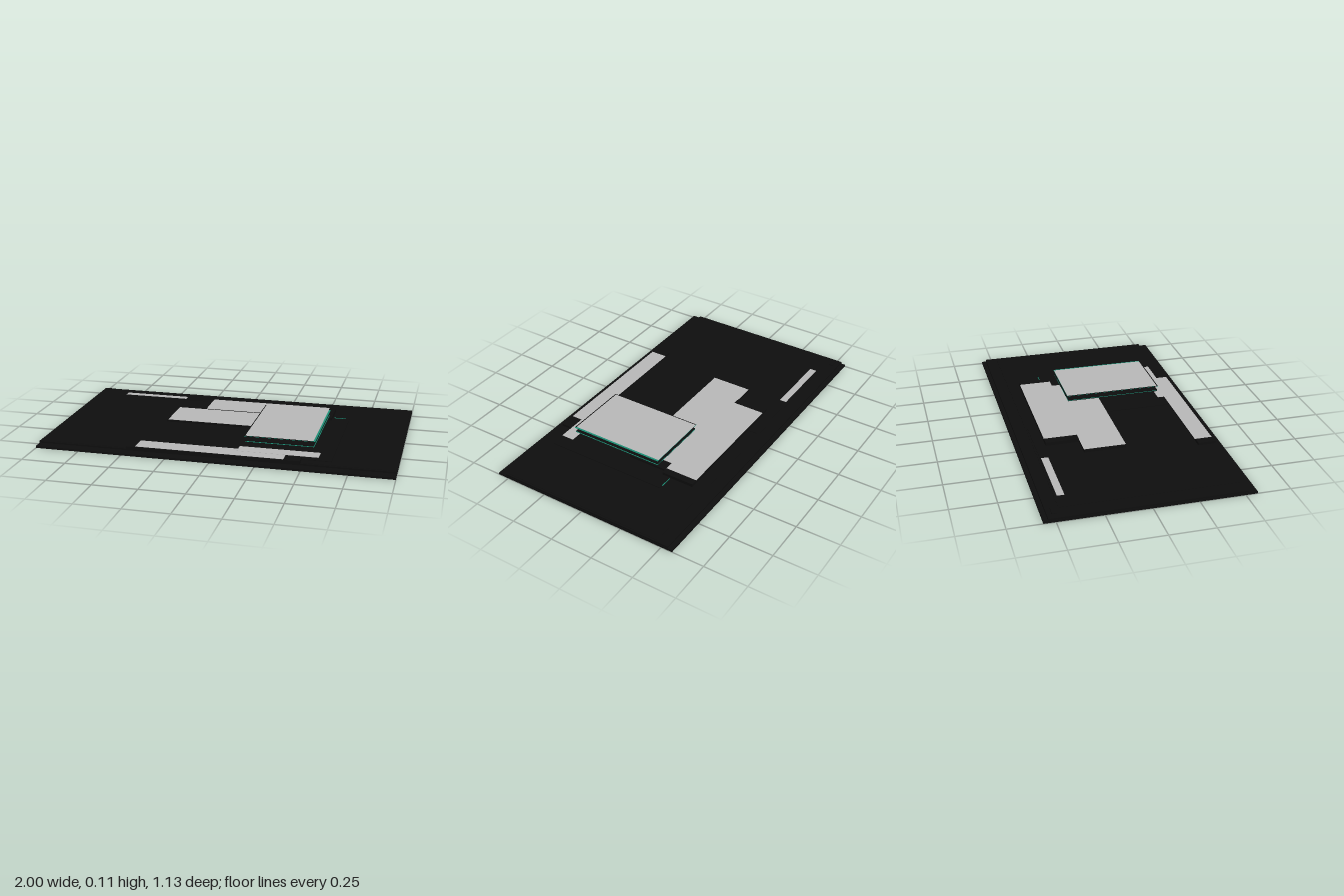
import * as THREE from 'three';

export function createModel() {
  const model = new THREE.Group();
  model.name = 'layeredPanel';
  const material = (name, color) => {
    const m = new THREE.MeshStandardMaterial({ color });
    m.name = name;
    return m;
  };
  const black = material('black', 0x0e0e0e);
  const grey = material('light grey', 0xb8b8b8);
  const teal = material('teal', 0x1a9076);

  // Axis-aligned slab given by its limits on each axis
  function slab(name, mat, [x0, x1], [y0, y1], [z0, z1], parent = model) {
    const mesh = new THREE.Mesh(new THREE.BoxGeometry(x1 - x0, y1 - y0, z1 - z0), mat);
    mesh.position.set((x0 + x1) / 2, (y0 + y1) / 2, (z0 + z1) / 2);
    mesh.name = name;
    parent.add(mesh);
    return mesh;
  }

  // Stacked base sheets
  slab('baseSheet', black, [-1, 1], [0, 0.012], [-0.565, 0.565]);
  slab('middleSheet', black, [-1, 1], [0.014, 0.024], [-0.54, 0.515]);
  slab('innerSheet', black, [-0.91, 0.99], [0.024, 0.026], [-0.47, 0.505]);
  slab('panelWell', black, [0.05, 0.65], [0.026, 0.03], [-0.26, 0.46]);
  slab('backRail', black, [-0.75, -0.05], [0.026, 0.029], [-0.46, -0.41]);

  // Raised blocks, each topped by a thin grey plate
  const blocks = [
    ['rear', [-0.27, 0.55], [-0.40, -0.21], 0.046, [-0.22, 0.51], [-0.40, -0.21]],
    ['middle', [-0.40, 0.52], [-0.21, 0.027], 0.042, [-0.39, 0.455], [-0.21, 0.03]],
    ['front', [-0.48, 0.49], [0.425, 0.527], 0.042, [-0.43, 0.40], [0.42, 0.52]],
  ];
  for (const [name, bx, bz, top, px, pz] of blocks) {
    slab(name + 'Block', black, bx, [0.027, top], bz);
    slab(name + 'Plate', grey, px, [top, top + 0.001], pz);
  }
  slab('wellPlate', grey, [0.13, 0.58], [0.043, 0.044], [0.38, 0.455]);
  slab('backPlate', grey, [-0.81, -0.41], [0.032, 0.033], [-0.455, -0.415]);

  // Small fittings
  slab('sideMarker', teal, [0.56, 0.63], [0.031, 0.033], [-0.264, -0.26]);
  slab('cornerTab', black, [-0.97, -0.92], [0.03, 0.034], [-0.515, -0.49]);

  // Floating panel: board, inner modules and cover
  const panel = new THREE.Group();
  panel.name = 'floatingPanel';
  model.add(panel);
  slab('boardBottom', black, [0.16, 0.54], [0.071, 0.074], [-0.172, 0.382], panel);
  slab('boardCore', teal, [0.16, 0.543], [0.074, 0.077], [-0.173, 0.384], panel);
  slab('boardTop', black, [0.16, 0.54], [0.077, 0.083], [-0.172, 0.382], panel);
  for (let i = 0; i < 3; i++) {
    const z = -0.06 + i * 0.118;
    slab('panelModule', black, [0.17, 0.53], [0.091, 0.097], [z, z + 0.112], panel);
  }
  slab('coverEdge', teal, [0.155, 0.548], [0.105, 0.1065], [-0.177, 0.386], panel);
  slab('coverPlate', grey, [0.16, 0.538], [0.1065, 0.1075], [-0.176, 0.38], panel);
  // Dark outline of the cover
  slab('coverLeftLine', black, [0.155, 0.16], [0.1065, 0.1075], [-0.177, 0.386], panel);
  slab('coverFrontLine', black, [0.16, 0.54], [0.1065, 0.1075], [0.38, 0.386], panel);

  return model;
}
